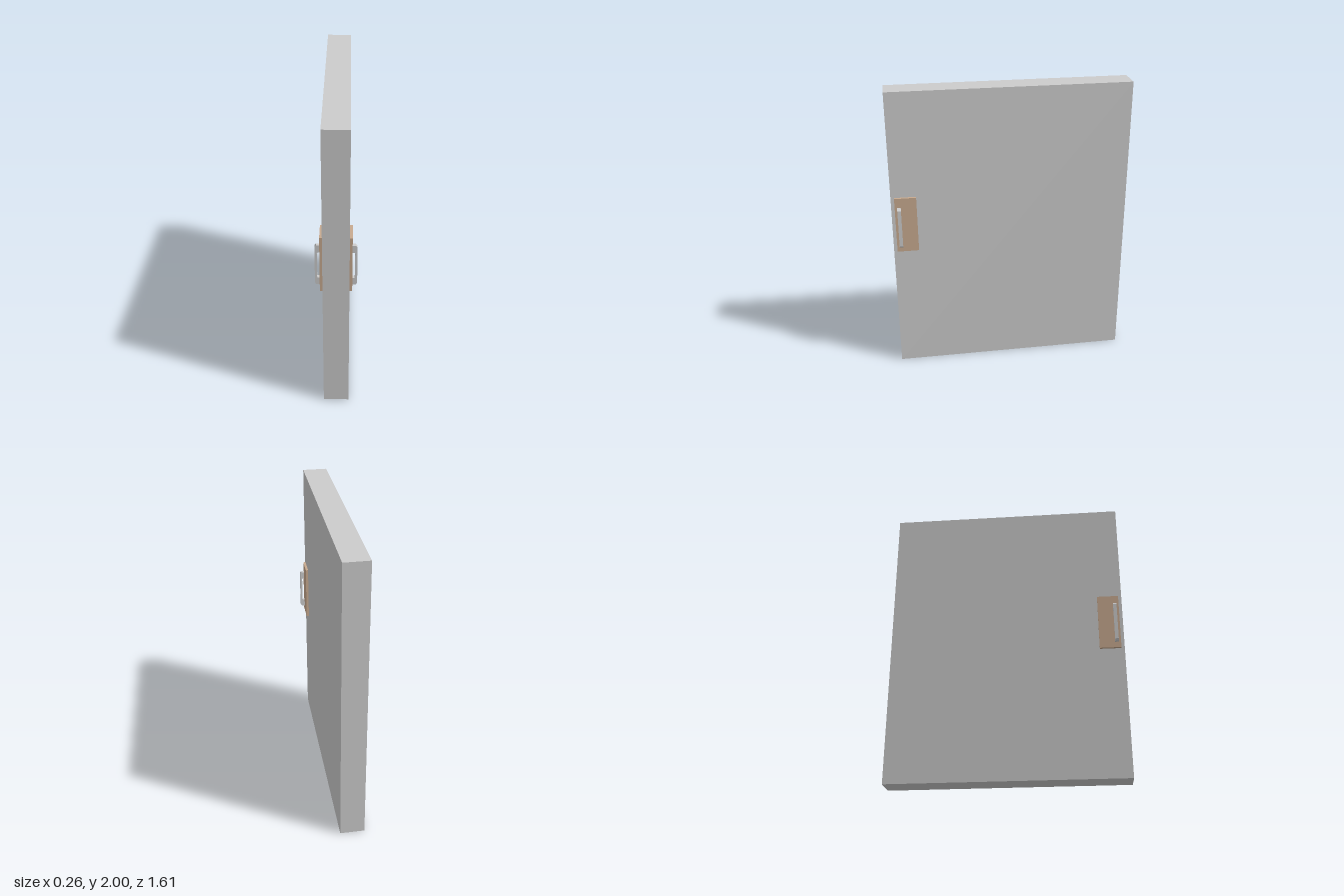
import * as THREE from 'three';

export function createModel() {
  const model = new THREE.Group();
  model.name = 'door';
  const grey = new THREE.MeshStandardMaterial({ color: 0xcccccc, flatShading: true });
  const tan = new THREE.MeshStandardMaterial({ color: 0xc8aa8f, flatShading: true });

  function add(name, geometry, material, x, y, z) {
    const mesh = new THREE.Mesh(geometry, material);
    mesh.name = name;
    mesh.position.set(x, y, z);
    model.add(mesh);
  }

  // Door slab
  add('doorPanel', new THREE.BoxGeometry(0.166, 2, 1.606), grey, 0, 1, 0);

  // Pull handle outline (distance from the door, height), chamfered outside and inside
  const outline = [
    [0.098, 0.935], [0.121, 0.935], [0.13, 0.947], [0.13, 1.208], [0.121, 1.22], [0.098, 1.22],
    [0.098, 1.17], [0.112, 1.17], [0.116, 1.163], [0.116, 0.992], [0.112, 0.985], [0.098, 0.985],
  ];

  // Backing plate and handle on each face
  for (const [side, s] of [['left', 1], ['right', -1]]) {
    add(side + 'Plate', new THREE.BoxGeometry(0.019, 0.39, 0.145), tan, s * 0.0905, 1.09, 0.7075);
    const shape = new THREE.Shape(outline.map(([x, y]) => new THREE.Vector2(s * x, y)));
    const pull = new THREE.ExtrudeGeometry(shape, { depth: 0.024, bevelEnabled: false });
    add(side + 'Handle', pull, grey, 0, 0, 0.74);
  }
  return model;
}
